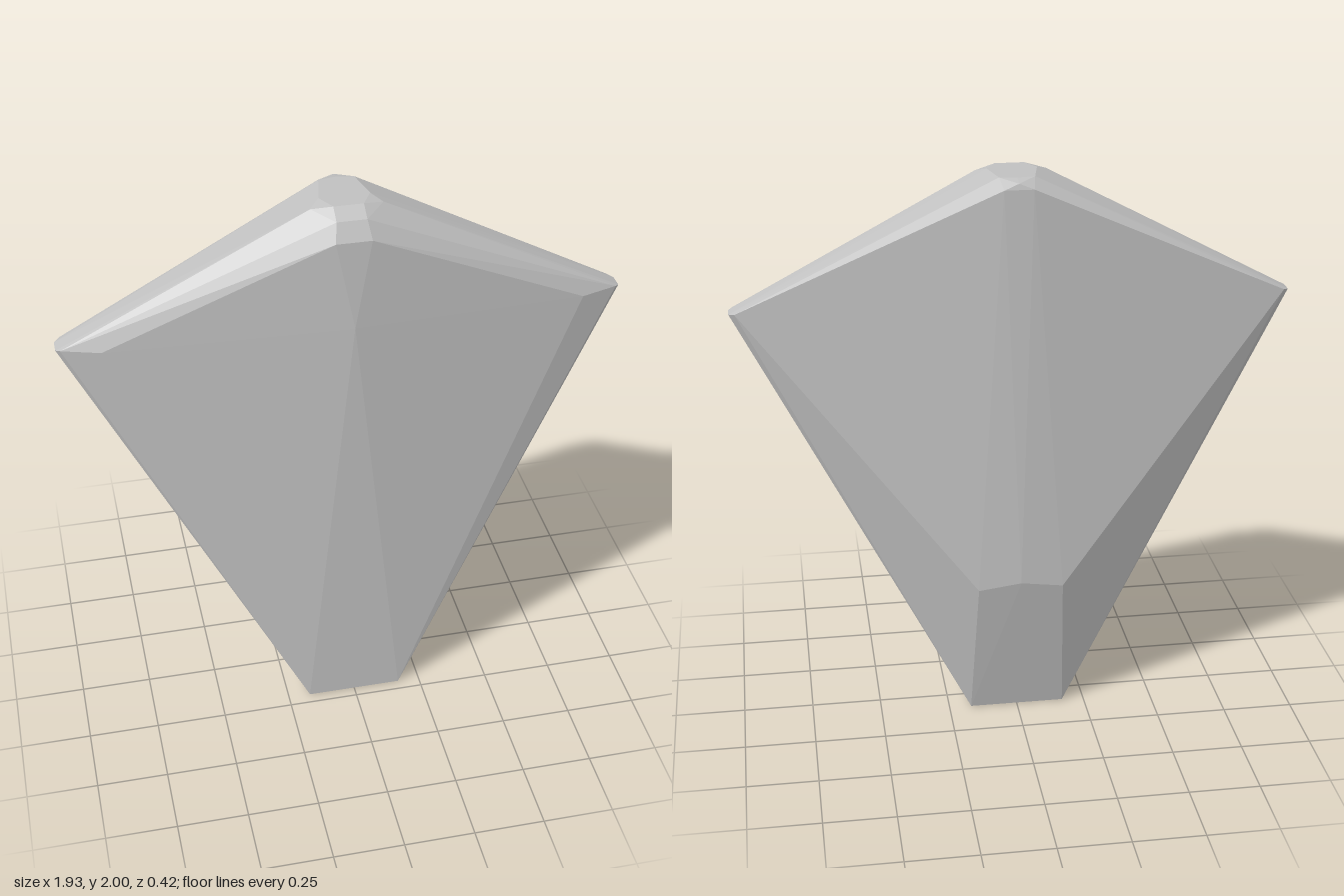
import * as THREE from 'three';
import { ConvexGeometry } from 'three/addons/geometries/ConvexGeometry.js';

// Corners of one half; each is mirrored across x = 0
const halfCorners = [
  // square foot
  [0.17, 0, 0.21], [0.17, 0, -0.09],
  // bulge low on the back
  [0.15, 0.535, -0.197], [0, 0.56, -0.207],
  // side tip with its bevels
  [0.82, 1.55, 0.09], [0.95, 1.55, 0.05], [0.965, 1.545, 0.035],
  [0.965, 1.545, -0.015], [0.945, 1.55, -0.036],
  // shallow crown of the front face
  [0, 1.6, 0.2],
  // rounded top: front bevels, flat cap, back edge
  [0.06, 1.91, 0.18], [0.05, 1.97, 0.145], [0.05, 2, 0.095],
  [0.12, 1.985, 0.07], [0.085, 2, 0.03], [0.06, 2, -0.09],
  [0, 2, -0.1], [0.05, 1.97, -0.146], [0, 1.99, -0.14],
];

export function createModel() {
  const group = new THREE.Group();
  group.name = 'facetedStone';

  const stone = new THREE.MeshStandardMaterial({ color: 0xc0c0c0 });
  stone.name = 'stoneGrey';

  const points = [];
  for (const [x, y, z] of halfCorners) {
    points.push(new THREE.Vector3(x, y, z));
    if (x > 0) points.push(new THREE.Vector3(-x, y, z));
  }

  // Faceted body, flat on every side
  const body = new THREE.Mesh(new ConvexGeometry(points), stone);
  body.name = 'body';
  group.add(body);
  return group;
}
